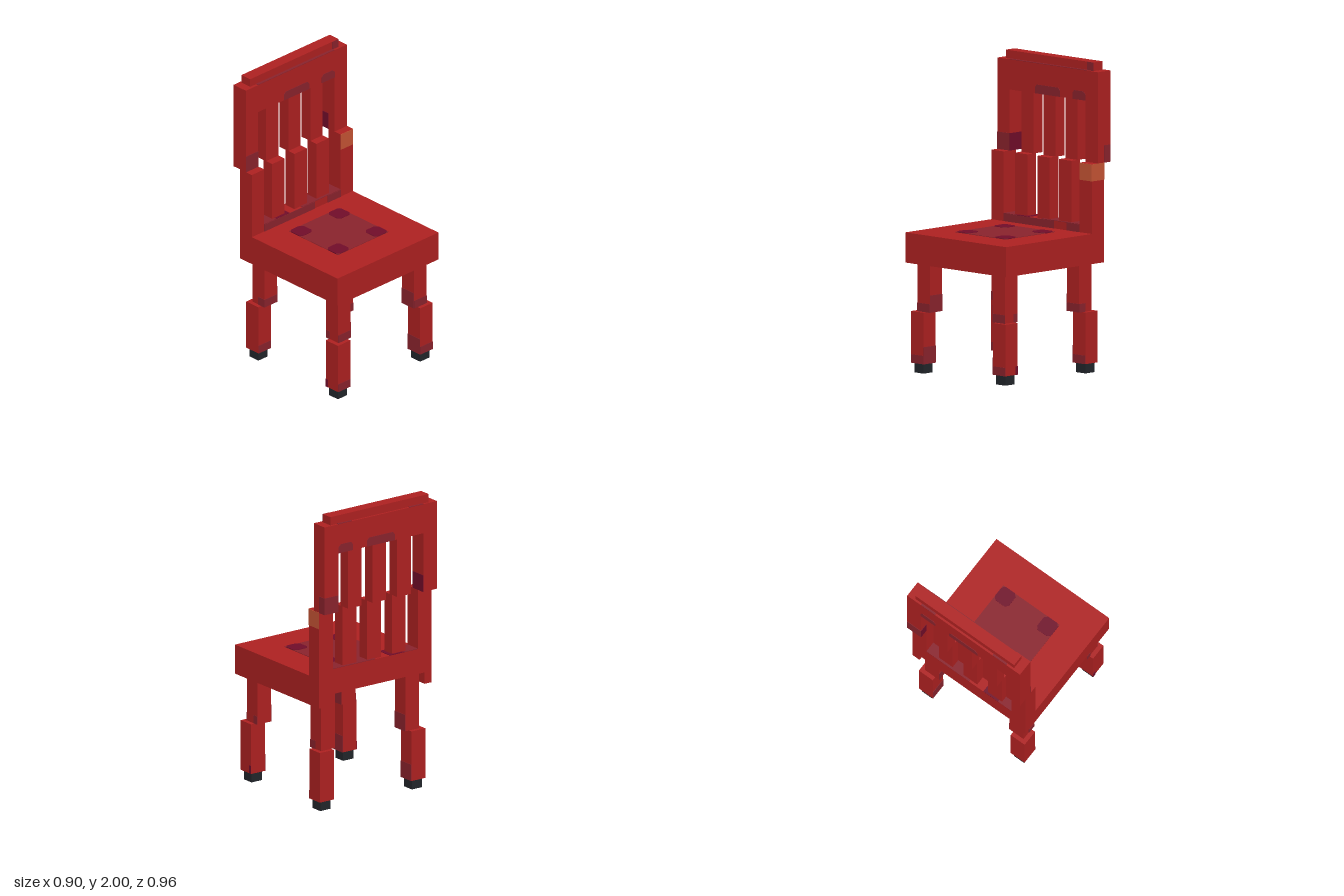
import * as THREE from 'three';

const mat = (name, color) => {
  const m = new THREE.MeshStandardMaterial({ color });
  m.name = name;
  return m;
};

export function createModel() {
  const red = mat('red wood', 0xb02121);
  const dark = mat('dark red wear', 0x8b232d);
  const plum = mat('plum wear', 0x720d2a);
  const orange = mat('orange patch', 0xc85535);
  const black = mat('black feet', 0x22262b);
  const model = new THREE.Group();
  model.name = 'chair';
  const T = 0.003; // thickness of painted plates

  // box given by its extents
  const box = (name, m, x0, x1, y0, y1, z0, z1, parent = model) => {
    const mesh = new THREE.Mesh(new THREE.BoxGeometry(x1 - x0, y1 - y0, z1 - z0), m);
    mesh.position.set((x0 + x1) / 2, (y0 + y1) / 2, (z0 + z1) / 2);
    mesh.name = name;
    parent.add(mesh);
    return mesh;
  };
  // outline in the xy plane extruded from z0 to z1
  const extrude = (name, m, pts, z0, z1) => {
    const shape = new THREE.Shape(pts.map(([x, y]) => new THREE.Vector2(x, y)));
    const geo = new THREE.ExtrudeGeometry(shape, { depth: z1 - z0, bevelEnabled: false });
    const mesh = new THREE.Mesh(geo, m);
    mesh.position.z = z0;
    mesh.name = name;
    model.add(mesh);
    return mesh;
  };

  const W = 0.45, I = 0.34;            // outer and inner half widths
  const lowB = -0.42, lowF = -0.309;   // lower back depth
  const upB = -0.477, upF = -0.364;    // upper back depth
  const front = 0.477, seatBottom = 0.71, slab = 0.787, seatTop = 0.905;
  const step = 1.355;

  // seat slab with a skirt on three sides
  box('seat', red, -W, W, slab, seatTop, lowF, front);
  for (const s of [-1, 1]) {
    const a = s * W, b = s * (W - 0.056);
    box('seatSideSkirt', red, Math.min(a, b), Math.max(a, b), seatBottom, slab, lowB, front);
  }
  box('seatFrontSkirt', red, -W + 0.056, W - 0.056, seatBottom, slab, front - 0.056, front);
  box('skirtInnerWear', dark, -0.28, 0.28, seatBottom, slab, front - 0.056 - T, front - 0.056);

  // worn square on the seat with four chamfered corner spots
  box('seatPanel', dark, -0.225, 0.225, seatTop, seatTop + T, -0.2, 0.25);
  for (const x of [-0.169, 0.169]) for (const z of [-0.144, 0.194]) {
    const r = 0.056, c = 0.036;
    const pts = [[-c, -r], [c, -r], [r, -c], [r, c], [c, r], [-c, r], [-r, c], [-r, -c]];
    const spot = extrude('seatSpot', plum, pts, 0, 2 * T);
    spot.rotation.x = -Math.PI / 2;
    spot.position.set(x, seatTop, z);
  }

  // lower and upper halves of the back frame
  extrude('lowerBackFrame', red, [[-W, slab], [W, slab], [W, step], [I, step],
    [I, 0.955], [-I, 0.955], [-I, step], [-W, step]], lowB, lowF);
  extrude('upperBackFrame', red, [[-W, step], [-I, step], [-I, 1.75], [I, 1.75],
    [I, step], [W, step], [W, 1.945], [-W, 1.945]], upB, upF);
  box('topCap', red, -0.393, 0.393, 1.945, 2, -0.463, -0.383);

  // stepped slats
  for (const x of [-0.198, 0, 0.196]) {
    box('lowerSlat', red, x - 0.055, x + 0.055, 0.955, step, -0.405, -0.325);
    box('upperSlat', red, x - 0.055, x + 0.055, step, 1.75, -0.461, -0.381);
  }

  // wear on the lower rail
  for (const [a, b] of [[-I, 0.112], [0.225, I]])
    box('lowerRailFrontWear', dark, a, b, seatTop, 0.955, lowF, lowF + T);
  for (const [a, b, m] of [[-I, -0.232, dark], [-0.232, -0.115, plum], [0, I, dark]])
    box('lowerRailTopWear', m, a, b, 0.955, 0.955 + T, lowB, lowF);

  // wear on the upper rail, front and back
  for (const z of [upF, upB - T]) {
    extrude('upperRailWear', dark, [[-0.112, 1.75], [0.112, 1.75], [0.112, 1.79],
      [0.095, 1.808], [-0.095, 1.808], [-0.112, 1.79]], z, z + T);
    extrude('upperRailSideWear', dark, [[0.225, 1.75], [I, 1.75], [I, 1.79],
      [0.32, 1.808], [0.24, 1.808], [0.225, 1.79]], z, z + T);
  }
  box('topLedgeFrontWear', dark, -I, I, 1.945, 1.945 + T, -0.383, upF);
  for (const x of [-0.285, 0.285])
    box('topLedgeBackWear', dark, x - 0.055, x + 0.055, 1.945, 1.945 + T, upB, -0.463);
  box('capEndWear', dark, 0.337, 0.393, 1.945, 2, -0.383, -0.383 + T);

  // wear and patch on the posts
  box('rightPostWear', dark, -W, -I, step, 1.467, upF, upF + T);
  box('rightPostInnerWear', plum, -I, -I + T, step, 1.467, upB, upF);
  box('leftPostBackWear', dark, I, W, step, 1.467, upB - T, upB);
  box('leftPostSideWear', dark, W, W + T, step, 1.467, upB, -0.42);
  box('leftPostInnerWear', plum, I - T, I, step, 1.467, upB, -0.42);
  box('postPatchFront', orange, I, W, 1.245, step, lowF, lowF + T);
  box('postPatchSide', orange, W, W + T, 1.245, step, lowB, lowF);

  // stepped legs with dark feet and wear bands
  for (const s of [-1, 1]) for (const [zu, zl] of [[0.37, 0.397], [-0.307, -0.334]]) {
    const leg = new THREE.Group();
    leg.name = zu > 0 ? 'frontLeg' : 'backLeg';
    model.add(leg);
    const part = (name, m, a, b, y0, y1, z0, z1) =>
      box(name, m, Math.min(s * a, s * b), Math.max(s * a, s * b), y0, y1, z0, z1, leg);
    const h = 0.0555;
    part('upperLeg', red, 0.282, 0.393, 0.397, slab, zu - h, zu + h);
    part('lowerLeg', red, 0.311, 0.422, 0.063, 0.397, zl - h, zl + h);
    part('foot', black, 0.325, 0.408, 0, 0.063, zl - 0.041, zl + 0.041);
    part('upperFrontWear', dark, 0.282, 0.393, 0.397, 0.452, zu + h, zu + h + T);
    part('lowerFrontWear', dark, 0.311, 0.422, 0.063, 0.118, zl + h, zl + h + T);
    part('upperInnerWear', dark, 0.282 - T, 0.282, 0.397, 0.508, zu - h, zu + h);
    part('lowerInnerWear', dark, 0.311 - T, 0.311, 0.063, 0.174, zl - h, zl + h);
    // small spot on the outer side
    if (zu > 0) {
      part('upperSideWear', dark, 0.393, 0.393 + T, 0.397, 0.452, zu - h, zu - 0.02);
      part('lowerSideWear', plum, 0.422, 0.422 + T, 0.063, 0.118, zl - h, zl - 0.035);
    } else {
      part('upperSideWear', dark, 0.393, 0.393 + T, 0.397, 0.452, zu, zu + h);
    }
  }
  return model;
}
